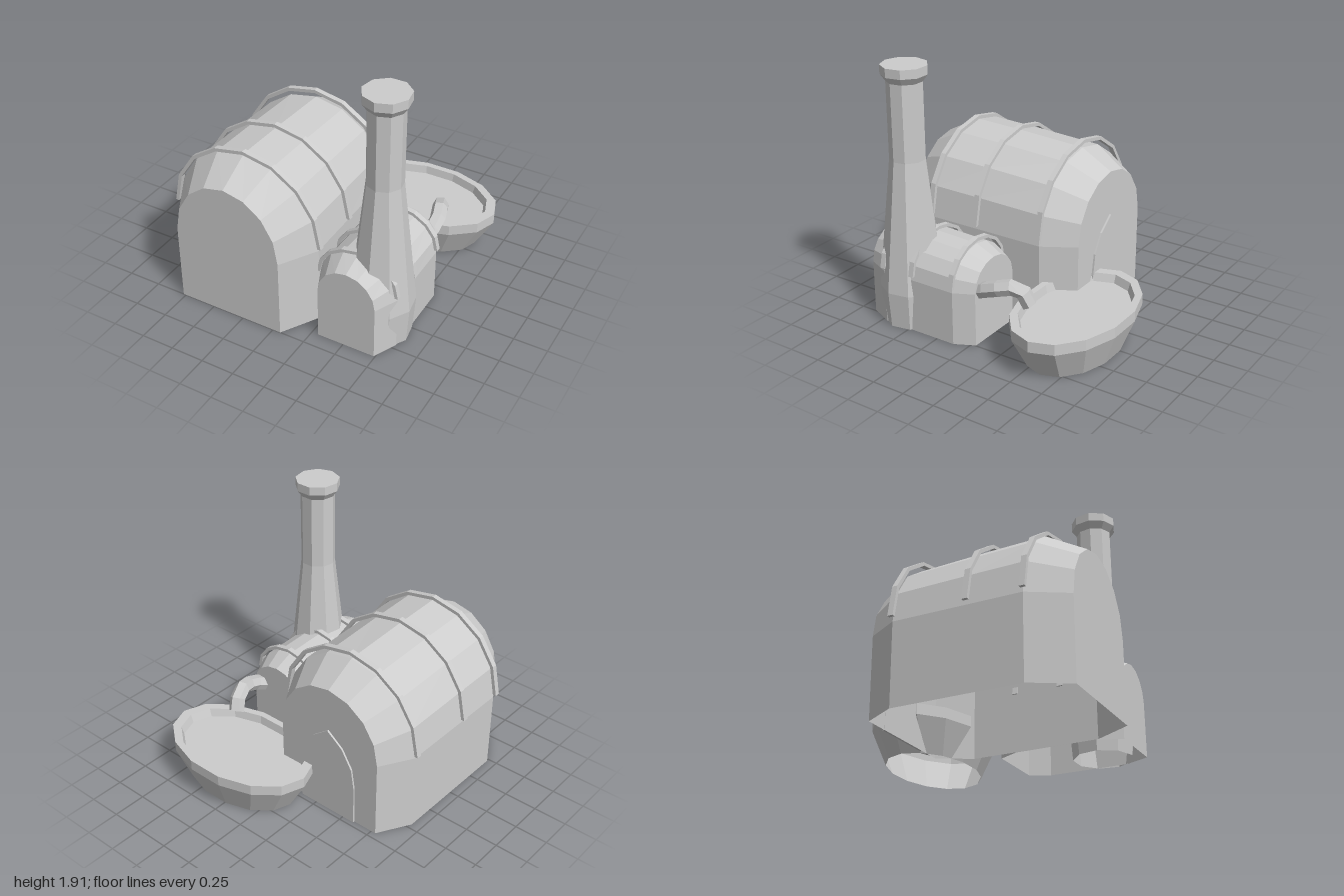
import * as THREE from 'three';

const stone = new THREE.MeshStandardMaterial({ color: 0xcccccc });
stone.name = 'pale grey';
stone.flatShading = true;
stone.side = THREE.DoubleSide;

function add(parent, name, geometry, x = 0, y = 0, z = 0) {
  const mesh = new THREE.Mesh(geometry, stone);
  mesh.name = name;
  mesh.position.set(x, y, z);
  parent.add(mesh);
  return mesh;
}

// Vaulted hall, open below: stations run front to back as [z, halfWidth, archHeight]
function vault(stations, spring) {
  const pos = [], idx = [], n = 11;
  for (const [z, w, h] of stations) {
    pos.push(w, 0, z);
    for (let i = 0; i <= 8; i++) {
      const a = (i * Math.PI) / 8;
      pos.push(w * Math.cos(a), spring + h * Math.sin(a), z);
    }
    pos.push(-w, 0, z);
  }
  for (let s = 0; s < stations.length - 1; s++) {
    for (let i = 0; i < n - 1; i++) {
      const a = s * n + i, d = a + n;
      idx.push(a, d, d + 1, a, d + 1, a + 1);
    }
  }
  // End walls
  const last = (stations.length - 1) * n;
  for (let i = 1; i < n - 1; i++) {
    idx.push(0, i, i + 1, last, last + i + 1, last + i);
  }
  const g = new THREE.BufferGeometry();
  g.setAttribute('position', new THREE.Float32BufferAttribute(pos, 3));
  g.setIndex(idx);
  g.computeVertexNormals();
  return g;
}

// Half-hoop rib over a vault
function rib(rx, ry, thick, depth) {
  const s = new THREE.Shape();
  s.absellipse(0, 0, rx, ry, 0, Math.PI, false);
  s.absellipse(0, 0, rx - thick, ry - thick, Math.PI, 0, true);
  s.closePath();
  const g = new THREE.ExtrudeGeometry(s, { depth, bevelEnabled: false, curveSegments: 4 });
  return g.translate(0, 0, -depth / 2);
}

function lathe(points, sides) {
  return new THREE.LatheGeometry(points.map(([r, y]) => new THREE.Vector2(r, y)), sides);
}

export function createModel() {
  const model = new THREE.Group();
  model.name = 'vaultedOven';

  // Large hall with three ribs
  const hall = new THREE.Group();
  hall.name = 'largeHall';
  hall.position.x = -0.355;
  model.add(hall);
  add(hall, 'largeVault', vault([
    [1, 0.415, 0.465], [0.73, 0.575, 0.61], [0.33, 0.573, 0.597],
    [-0.21, 0.57, 0.57], [-0.45, 0.43, 0.435],
  ], 0.6), 0, 0, 0);
  for (const z of [0.735, 0.335, -0.21]) {
    add(hall, 'largeRib', rib(0.605, 0.605, 0.026, 0.04), 0, 0.63, z);
  }

  // Pointed doorway on the back wall
  const door = new THREE.Shape();
  door.moveTo(-0.24, 0);
  door.lineTo(0.24, 0);
  door.lineTo(0.24, 0.3);
  door.lineTo(0.215, 0.46);
  door.lineTo(0.13, 0.6);
  door.lineTo(0, 0.7);
  door.lineTo(-0.13, 0.6);
  door.lineTo(-0.215, 0.46);
  door.lineTo(-0.24, 0.3);
  door.closePath();
  add(hall, 'backDoor',
    new THREE.ExtrudeGeometry(door, { depth: 0.015, bevelEnabled: false }), 0, 0, -0.464);

  // Small hall with three ribs
  const annex = new THREE.Group();
  annex.name = 'smallHall';
  annex.position.x = 0.52;
  model.add(annex);
  add(annex, 'smallVault', vault([
    [0.885, 0.22, 0.22], [0.71, 0.3, 0.28], [0.46, 0.299, 0.275],
    [0.11, 0.297, 0.262], [-0.035, 0.225, 0.2],
  ], 0.4));
  for (const z of [0.715, 0.46, 0.115]) {
    add(annex, 'smallRib', rib(0.315, 0.28, 0.024, 0.04), 0, 0.43, z);
  }

  // Nine-sided chimney, closed at the top
  add(model, 'chimney', lathe([
    [0.215, 0], [0.235, 0.27], [0.13, 1.24], [0.13, 1.8],
    [0.166, 1.85], [0.166, 1.915], [0, 1.915],
  ], 9), 0.645, 0, 0.595);

  // Oval basin with a shallow floor, open underneath
  const basin = lathe([
    [0.3, 0], [0.39, 0.24], [0.39, 0.32], [0.342, 0.32], [0.328, 0.26], [0, 0.26],
  ], 14);
  basin.rotateY(Math.PI / 2);
  basin.scale(1.564, 1, 1);
  add(model, 'basin', basin, 0.345, 0, -0.61);

  // Bent spout from the small hall to the basin
  const bend = [
    [0.67, 0.39, 0], [0.69, 0.455, -0.15], [0.635, 0.482, -0.33], [0.605, 0.37, -0.395],
  ].map((p) => new THREE.Vector3(...p));
  add(model, 'spout',
    new THREE.TubeGeometry(new THREE.CatmullRomCurve3(bend), 5, 0.058, 6, false));

  return model;
}
